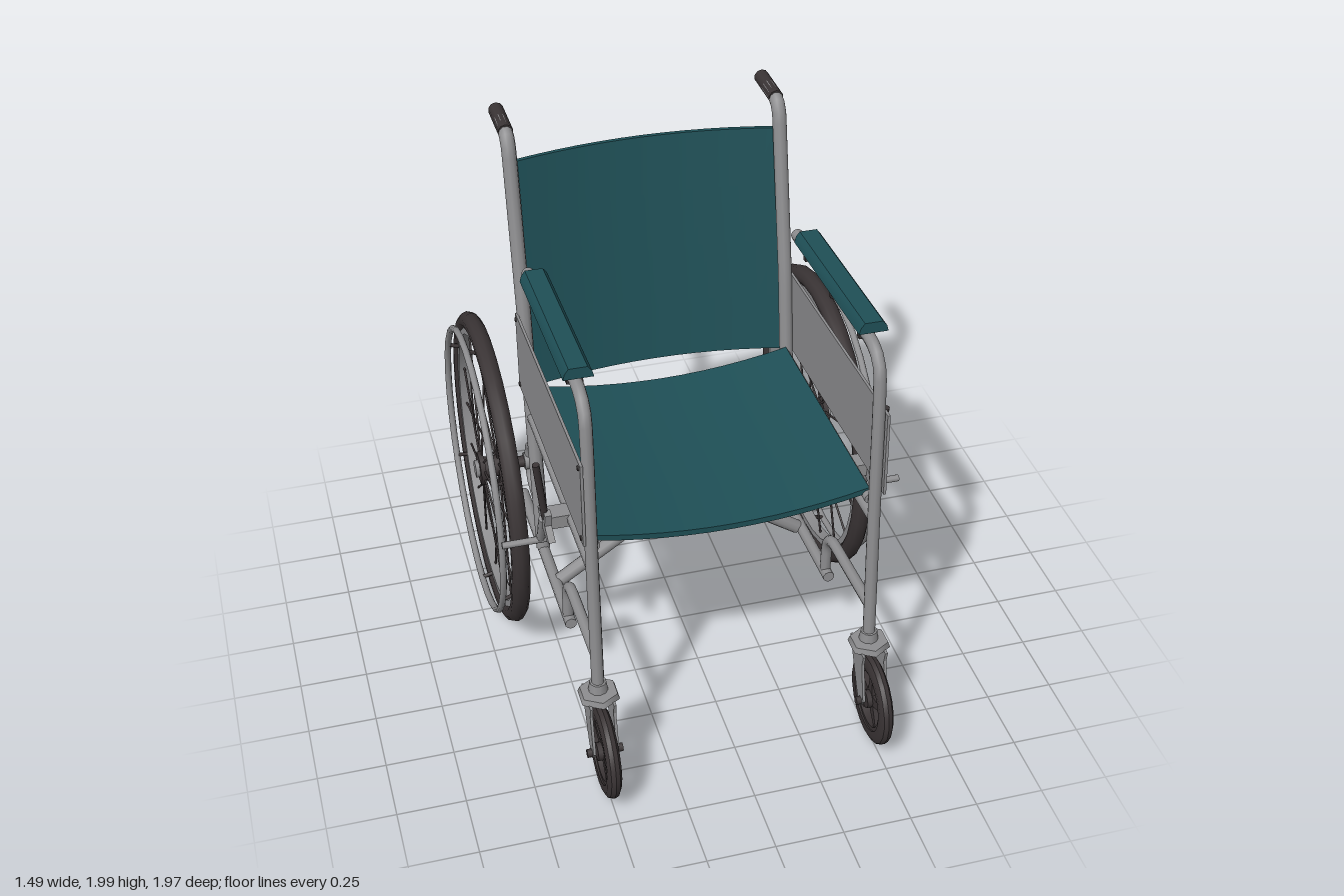
import * as THREE from 'three';
import { toCreasedNormals } from 'three/addons/utils/BufferGeometryUtils.js';

const material = (name, color, side = THREE.FrontSide) => {
  const m = new THREE.MeshStandardMaterial({ color, side });
  m.name = name;
  return m;
};

export function createModel() {
  const steel = material('grey steel', 0x8e8e90);
  const rubber = material('black rubber', 0x3a3435);
  const fabric = material('teal fabric', 0x1f5057, THREE.DoubleSide);
  const model = new THREE.Group();
  model.name = 'wheelchair';
  const V = (x, y, z) => new THREE.Vector3(x, y, z);

  const add = (parent, name, geo, mat, x = 0, y = 0, z = 0) => {
    const mesh = new THREE.Mesh(geo, mat);
    mesh.name = name;
    mesh.position.set(x, y, z);
    parent.add(mesh);
    return mesh;
  };

  // straight round bar between two points
  const rod = (parent, name, a, b, r, mat = steel, sides = 10) => {
    const geo = new THREE.CylinderGeometry(r, r, a.distanceTo(b), sides);
    const mesh = add(parent, name, geo, mat);
    mesh.position.copy(a).add(b).multiplyScalar(0.5);
    mesh.quaternion.setFromUnitVectors(V(0, 1, 0), b.clone().sub(a).normalize());
    return mesh;
  };

  // bent tube in a side plane: corners [z, y] rounded with radius f, ends capped
  const bentTube = (parent, name, x, corners, r, f) => {
    const p = corners.map(([z, y]) => V(x, y, z));
    const path = new THREE.CurvePath();
    let last = p[0];
    for (let i = 1; i < p.length - 1; i++) {
      const step = (q) => p[i].clone().add(q.clone().sub(p[i]).setLength(Math.min(f, q.distanceTo(p[i]) * 0.49)));
      const a = step(p[i - 1]), b = step(p[i + 1]);
      path.add(new THREE.LineCurve3(last, a));
      path.add(new THREE.QuadraticBezierCurve3(a, p[i], b));
      last = b;
    }
    path.add(new THREE.LineCurve3(last, p[p.length - 1]));
    add(parent, name, new THREE.TubeGeometry(path, 48, r, 10), steel);
    for (const t of [0, 1]) {
      const cap = add(parent, name + 'End', new THREE.CircleGeometry(r, 10), steel);
      cap.position.copy(path.getPointAt(t));
      cap.quaternion.setFromUnitVectors(V(0, 0, 1), path.getTangentAt(t).multiplyScalar(t ? 1 : -1));
    }
  };

  // flat plate from a side outline of [z, y] corners
  const plate = (parent, name, outline, thick, mat, x, y = 0, z = 0) => {
    const shape = new THREE.Shape(outline.map(([a, b]) => new THREE.Vector2(a, b)));
    const geo = new THREE.ExtrudeGeometry(shape, { depth: thick, bevelEnabled: false });
    geo.rotateY(-Math.PI / 2).translate(thick / 2, 0, 0);
    return add(parent, name, geo, mat, x, y, z);
  };

  // ring around the x axis, from a closed [radius, offset] profile
  const ring = (parent, name, profile, segs, mat, crease = 0.7) => {
    const pts = [...profile, profile[0]].map(([r, o]) => new THREE.Vector2(r, o));
    const geo = toCreasedNormals(new THREE.LatheGeometry(pts, segs), crease);
    return add(parent, name, geo.rotateZ(-Math.PI / 2), mat);
  };
  const box = (r0, r1, h) => [[r0, -h], [r1, -h], [r1, h], [r0, h]];
  const axleX = (len, r, sides) => new THREE.CylinderGeometry(r, r, len, sides).rotateZ(Math.PI / 2);
  const spin = (r, a, x = 0) => V(x, r * Math.sin(a), r * Math.cos(a));

  // large rear wheel with push rim
  const rearWheel = (s) => {
    const g = new THREE.Group();
    g.name = 'rearWheel';
    g.position.set(s * 0.66, 0.614, -0.375);
    add(g, 'rearTyre', new THREE.TorusGeometry(0.572, 0.035, 10, 32).rotateY(Math.PI / 2), rubber);
    ring(g, 'rearRim', box(0.522, 0.546, 0.022), 32, steel);
    add(g, 'pushRim', new THREE.TorusGeometry(0.55, 0.013, 8, 32).rotateY(Math.PI / 2), steel, s * 0.062);
    add(g, 'hub', axleX(0.08, 0.042, 12), rubber);
    add(g, 'hubFlange', axleX(0.02, 0.066, 6), rubber, s * 0.035);
    add(g, 'hubNut', axleX(0.02, 0.034, 6), steel, s * 0.05);
    for (let i = 0; i < 18; i++) {
      const a = (i / 18) * Math.PI * 2 + 0.1;
      rod(g, 'spoke', spin(0.04, a + 0.3, (i % 2 ? 1 : -1) * 0.03), spin(0.53, a), 0.0045, rubber, 5);
    }
    for (let i = 0; i < 6; i++) {
      const a = (i / 6) * Math.PI * 2 + Math.PI / 6;
      rod(g, 'pushRimBracket', spin(0.53, a, s * 0.01), spin(0.545, a, s * 0.06), 0.008, rubber, 6);
    }
    return g;
  };

  // small front wheel with five spokes, and its fork
  const caster = (s) => {
    const g = new THREE.Group();
    g.name = 'caster';
    g.position.set(s * 0.503, 0.19, 0.815);
    ring(g, 'casterTyre', [[0.122, -0.024], [0.15, -0.026], [0.168, -0.016], [0.174, 0],
      [0.168, 0.016], [0.15, 0.026], [0.122, 0.024]], 20, rubber);
    ring(g, 'casterRim', box(0.108, 0.126, 0.018), 20, rubber);
    add(g, 'casterHub', axleX(0.06, 0.034, 10), rubber);
    for (let i = 0; i < 5; i++) {
      const a = Math.PI / 2 + (i / 5) * Math.PI * 2;
      const arm = plate(g, 'casterSpoke', [[0.02, -0.022], [0.115, -0.01], [0.115, 0.01], [0.02, 0.022]], 0.022, rubber, 0);
      arm.rotation.x = -a;
    }
    for (const k of [-1, 1]) {
      plate(g, 'forkLeg', [[-0.14, 0.205], [0.0, 0.205], [-0.01, 0.16], [0.025, 0.01],
        [0.0, -0.025], [-0.025, -0.01], [-0.045, 0.02]].reverse(), 0.01, steel, k * 0.042);
      add(g, 'casterNut', axleX(0.02, 0.016, 6), rubber, k * 0.055);
    }
    add(g, 'forkCrown', new THREE.CylinderGeometry(0.07, 0.078, 0.022, 6), steel, 0, 0.213, -0.073);
    add(g, 'forkStem', new THREE.CylinderGeometry(0.03, 0.036, 0.04, 10), steel, 0, 0.24, -0.08);
    return g;
  };

  // parking brake clamped on the middle rail
  const brake = (s) => {
    const g = new THREE.Group();
    g.name = 'brake';
    plate(g, 'brakePlate', [[0.49, 0.9], [0.45, 0.88], [0.34, 0.9], [0.31, 0.93], [0.37, 0.945], [0.41, 0.985], [0.44, 0.98], [0.43, 0.93]],
      0.025, steel, s * 0.595);
    add(g, 'brakeClamp', new THREE.BoxGeometry(0.1, 0.05, 0.07), steel, s * 0.545, 0.925, 0.38);
    rod(g, 'brakeLever', V(s * 0.6, 0.95, 0.405), V(s * 0.63, 1.21, 0.44), 0.013, rubber, 8);
    rod(g, 'brakeArm', V(s * 0.605, 0.93, 0.385), V(s * 0.605, 0.785, 0.32), 0.015);
    rod(g, 'brakeShoe', V(s * 0.58, 0.79, 0.325), V(s * 0.745, 0.79, 0.325), 0.013);
    return g;
  };

  // everything that exists on both sides
  for (const s of [1, -1]) {
    const side = new THREE.Group();
    side.name = s > 0 ? 'leftSide' : 'rightSide';
    model.add(side);
    const x = s * 0.503;
    side.add(rearWheel(s), caster(s), brake(s));

    // frame tubes
    bentTube(side, 'frontPostAndArmRail', x, [[0.737, 0.4], [0.7, 1.02], [0.685, 1.4], [0.665, 1.607], [-0.22, 1.558]], 0.023, 0.13);
    bentTube(side, 'backPost', x, [[-0.185, 0.33], [-0.29, 0.96], [-0.34, 1.32], [-0.477, 1.972], [-0.6, 1.972]], 0.027, 0.06);
    bentTube(side, 'lowerFrontBar', x, [[0.725, 0.562], [0.262, 0.53], [0.255, 0.34]], 0.021, 0.09);
    bentTube(side, 'axleBracket', x, [[-0.27, 0.88], [-0.29, 0.74], [-0.375, 0.69], [-0.375, 0.54], [-0.205, 0.5]], 0.02, 0.06);
    rod(side, 'middleRail', V(x, 0.945, 0.7), V(x, 0.895, -0.29), 0.022);
    rod(side, 'lowerRail', V(x, 0.345, 0.3), V(x, 0.308, -0.57), 0.022);
    rod(side, 'seatRail', V(s * 0.49, 1.02, 0.69), V(s * 0.49, 1.0, -0.29), 0.02);
    rod(side, 'axle', V(s * 0.46, 0.614, -0.375), V(s * 0.65, 0.614, -0.375), 0.023, rubber);
    add(side, 'axleCollar', axleX(0.05, 0.034, 8), steel, x, 0.614, -0.375);

    // push handle
    rod(side, 'grip', V(x, 1.972, -0.51), V(x, 1.972, -0.69), 0.028, rubber);

    // side guard and its rivets
    plate(side, 'sidePanel', [[0.712, 1.38], [-0.345, 1.317], [-0.335, 1.0], [0.722, 1.055]].reverse(), 0.01, steel, s * 0.53);
    for (const [z, y] of [[0.69, 1.36], [0.7, 1.075], [-0.325, 1.3], [-0.315, 1.02]])
      add(side, 'rivet', axleX(0.008, 0.009, 8), rubber, s * 0.536, y, z);

    // padded armrest with wedge-shaped section
    const section = new THREE.Shape([[-0.052, 0], [0.052, 0], [0.046, 0.022], [0.032, 0.04], [-0.032, 0.04], [-0.046, 0.022]]
      .map(([a, b]) => new THREE.Vector2(a, b)));
    const pad = add(side, 'armrestPad', toCreasedNormals(
      new THREE.ExtrudeGeometry(section, { depth: 0.69, bevelEnabled: false }), 0.4), fabric, x, 1.604, -0.097);
    pad.rotation.x = -0.056;
    for (const z of [0.52, 0.23, -0.05]) {
      const clip = add(side, 'armrestClip', new THREE.BoxGeometry(0.056, 0.062, 0.022), rubber, x, 1.585 + z * 0.056, z);
      clip.rotation.x = -0.056;
    }

    // crossing braces under the seat
    const z = s > 0 ? 0.03 : -0.035;
    rod(model, 'crossBrace', V(s * 0.485, 1.005, z), V(-s * 0.485, 0.335, z), 0.027);
  }
  rod(model, 'bracePivot', V(0, 0.668, -0.07), V(0, 0.668, 0.065), 0.016, rubber, 8);

  // fabric sheet: a box bent by a rule
  const sheet = (name, bend) => {
    const geo = new THREE.BoxGeometry(1, 1, 1, 12, 1, 4);
    const p = geo.attributes.position;
    for (let i = 0; i < p.count; i++)
      p.setXYZ(i, ...bend(p.getX(i) * 2, p.getY(i), p.getZ(i) + 0.5));
    geo.computeVertexNormals();
    add(model, name, geo, fabric);
  };
  // seat sags between the rails
  sheet('seat', (u, t, v) => [u * 0.495, 1.018 + 0.02 * v - 0.055 * (1 - u * u) + t * 0.022, -0.275 + 0.94 * v]);
  // backrest bows to the rear and leans back with the posts
  sheet('backrest', (u, t, v) => [
    u * 0.485,
    1.0 + 0.875 * v,
    -0.325 - 0.145 * v - 0.06 * (1 - u * u) - t * 0.016,
  ]);

  return model;
}
